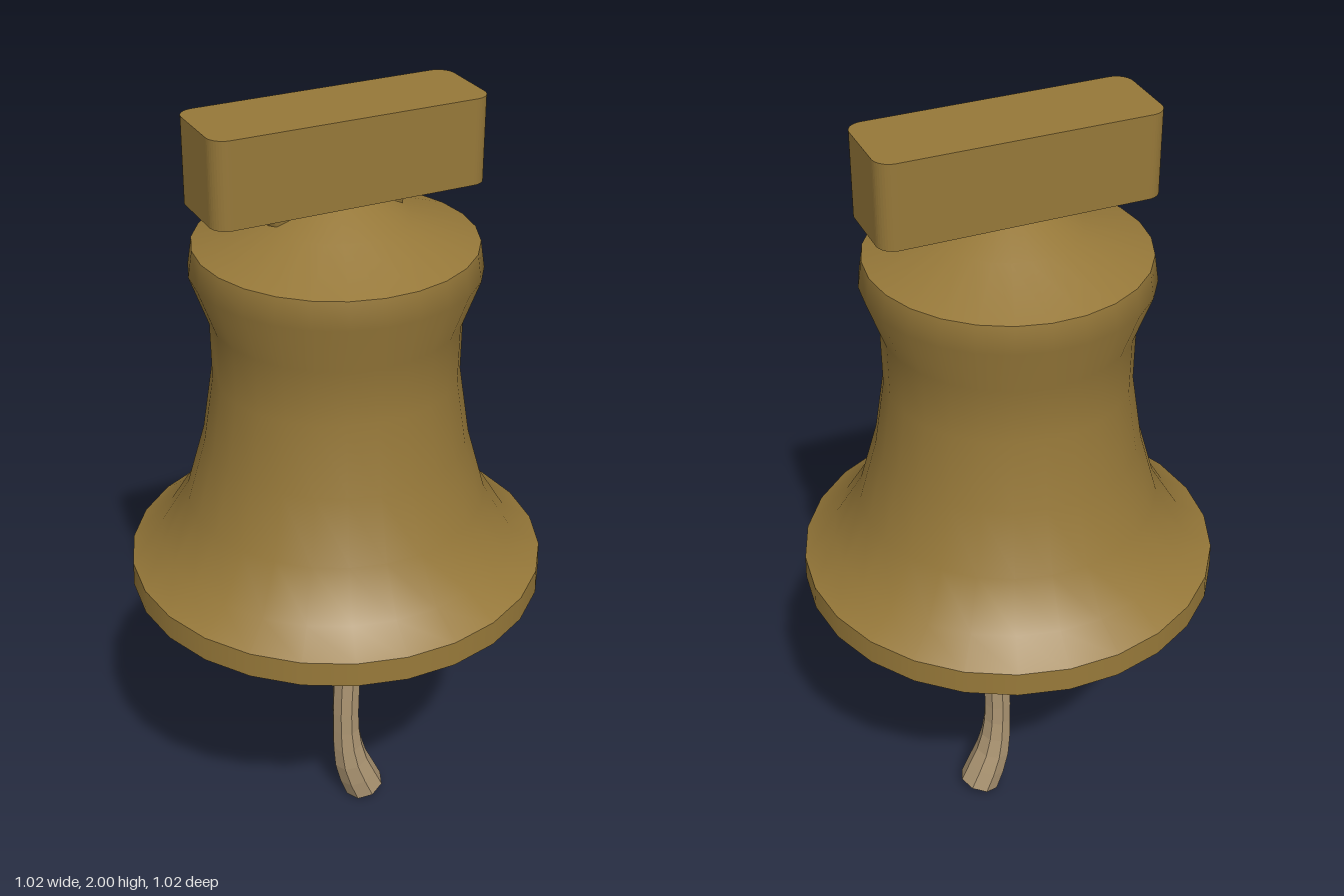
import * as THREE from 'three';

const SIDES = 26;
const bronze = new THREE.MeshStandardMaterial({ color: 0x967839 });
bronze.name = 'bronze';
const ropeTan = new THREE.MeshStandardMaterial({ color: 0xad9673 });
ropeTan.name = 'rope tan';

function add(parent, name, geometry, material) {
  const mesh = new THREE.Mesh(geometry, material);
  mesh.name = name;
  parent.add(mesh);
  return mesh;
}

// Turned section, starting with a corner on the x axis
function turned(points) {
  const profile = points.map(([r, y]) => new THREE.Vector2(r, y));
  return new THREE.LatheGeometry(profile, SIDES, Math.PI / 2);
}

// Bar with rounded upright corners
function roundedBar(w, d, h, r) {
  const x = w / 2, y = d / 2;
  const s = new THREE.Shape();
  s.moveTo(-x + r, -y);
  s.lineTo(x - r, -y);
  s.absarc(x - r, -y + r, r, -Math.PI / 2, 0);
  s.lineTo(x, y - r);
  s.absarc(x - r, y - r, r, 0, Math.PI / 2);
  s.lineTo(-x + r, y);
  s.absarc(-x + r, y - r, r, Math.PI / 2, Math.PI);
  s.lineTo(-x, -y + r);
  s.absarc(-x + r, -y + r, r, Math.PI, Math.PI * 1.5);
  const g = new THREE.ExtrudeGeometry(s, { depth: h, bevelEnabled: false, curveSegments: 5 });
  return g.rotateX(-Math.PI / 2);
}

// Faceted pull rope that flares at its lower end, with an end face
function buildRope(parent) {
  const path = new THREE.CatmullRomCurve3([
    [0.052, 0.83], [0.046, 0.65], [0.035, 0.45], [0.031, 0.25], [0.046, 0.13], [0.087, 0.02],
  ].map(([x, y]) => new THREE.Vector3(x, y, 0)));
  const rings = 14, sides = 8;
  const tube = new THREE.TubeGeometry(path, rings, 1, sides, false);
  const pos = tube.attributes.position;
  const v = new THREE.Vector3();
  for (let i = 0; i <= rings; i++) {
    const c = path.getPointAt(i / rings);
    const radius = 0.037 + 0.018 * THREE.MathUtils.smoothstep(i / rings, 0.68, 1);
    for (let j = 0; j <= sides; j++) {
      const k = i * (sides + 1) + j;
      v.fromBufferAttribute(pos, k).sub(c).multiplyScalar(radius).add(c);
      pos.setXYZ(k, v.x, v.y, v.z);
    }
  }
  const end = [];
  const c = path.getPointAt(1);
  for (let j = 0; j < sides; j++) {
    const k = rings * (sides + 1) + j;
    end.push(c);
    end.push(new THREE.Vector3().fromBufferAttribute(pos, k + 1));
    end.push(new THREE.Vector3().fromBufferAttribute(pos, k));
  }
  const flat = tube.toNonIndexed();
  flat.computeVertexNormals();
  add(parent, 'rope', flat, ropeTan);
  const endFace = new THREE.BufferGeometry().setFromPoints(end);
  endFace.computeVertexNormals();
  add(parent, 'ropeEnd', endFace, bronze);
}

export function createModel() {
  const model = new THREE.Group();
  model.name = 'hangingBell';

  // Bell body in sections, so the edges between them stay sharp
  const bell = new THREE.Group();
  bell.name = 'bell';
  model.add(bell);
  add(bell, 'bellUnderside', turned([[0, 0.803], [0.512, 0.803]]), bronze);
  add(bell, 'bellRim', turned([[0.512, 0.803], [0.51, 0.865]]), bronze);
  add(bell, 'bellFlank', turned([
    [0.51, 0.865], [0.435, 0.915], [0.365, 1.03], [0.32, 1.19],
    [0.294, 1.36], [0.296, 1.5], [0.339, 1.62], [0.329, 1.685],
  ]), bronze);
  add(bell, 'bellShoulder', turned([
    [0.329, 1.685], [0.17, 1.745], [0.085, 1.797], [0, 1.81],
  ]), bronze);

  // Mounting lugs between shoulder and beam
  for (const side of [-1, 1]) {
    const lug = add(model, side > 0 ? 'leftLug' : 'rightLug',
      new THREE.CylinderGeometry(0.036, 0.036, 0.14, 8), bronze);
    lug.position.set(side * 0.132, 1.76, 0);
    lug.rotation.z = -side * 0.15;
  }

  // Beam
  add(model, 'beam', roundedBar(0.664, 0.216, 0.2, 0.04), bronze).position.y = 1.8;

  buildRope(model);
  return model;
}
